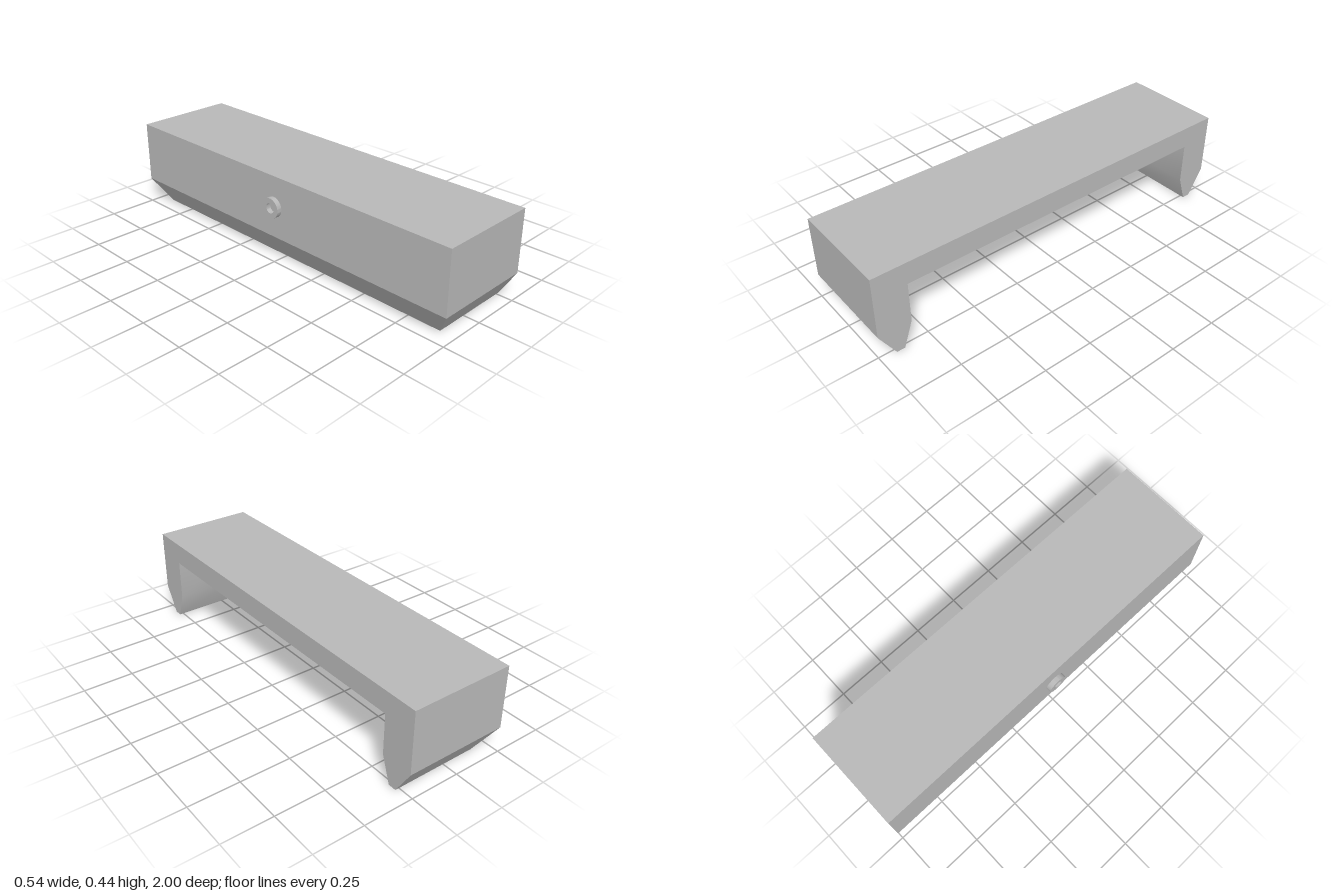
import * as THREE from 'three';
import { toCreasedNormals } from 'three/addons/utils/BufferGeometryUtils.js';

const FRONT = 0.27; // x of the open long side

// U-shaped rows [wall x, half length z, height y]: down the outside, then up the inside
const ROWS = [
  [-0.245, 1.0, 0.445],
  [-0.245, 1.0, 0.132],
  [-0.165, 0.92, 0],
  [-0.08, 0.88, 0],
  [-0.08, 0.835, 0.132],
  [-0.08, 0.835, 0.335],
];

function housingGeometry() {
  const p = ROWS.map(([x, z, y]) => [[FRONT, y, z], [x, y, z], [x, y, -z], [FRONT, y, -z]]);
  const pos = [];
  const quad = (a, b, c, d) => pos.push(...a, ...b, ...c, ...a, ...c, ...d);

  // walls, chamfers, bottom rim and inner walls
  for (let r = 0; r < 5; r++) {
    for (let j = 0; j < 3; j++) quad(p[r][j], p[r][j + 1], p[r + 1][j + 1], p[r + 1][j]);
  }
  // top and recess ceiling
  quad(p[0][3], p[0][2], p[0][1], p[0][0]);
  quad(p[5][0], p[5][1], p[5][2], p[5][3]);
  // frame around the open side
  for (let r = 0; r < 2; r++) {
    quad(p[r][0], p[r + 1][0], p[4 - r][0], p[5 - r][0]);
    quad(p[5 - r][3], p[4 - r][3], p[r + 1][3], p[r][3]);
  }
  quad(p[0][0], p[5][0], p[5][3], p[0][3]);

  const g = new THREE.BufferGeometry();
  g.setAttribute('position', new THREE.Float32BufferAttribute(pos, 3));
  return toCreasedNormals(g, THREE.MathUtils.degToRad(25));
}

// short hollow collar, turned around y and then laid along -x
function collarGeometry() {
  const profile = [[0.025, 0], [0.051, 0], [0.051, 0.026], [0.025, 0.026], [0.025, 0]]
    .map(([r, h]) => new THREE.Vector2(r, h));
  const g = new THREE.LatheGeometry(profile, 48).rotateZ(Math.PI / 2);
  return toCreasedNormals(g, THREE.MathUtils.degToRad(30));
}

export function createModel() {
  const grey = new THREE.MeshStandardMaterial({ color: 0xb8b8b8 });
  grey.name = 'plain grey';

  const model = new THREE.Group();
  model.name = 'cover';

  const housing = new THREE.Mesh(housingGeometry(), grey);
  housing.name = 'housing';

  const collar = new THREE.Mesh(collarGeometry(), grey);
  collar.name = 'collar';
  collar.position.set(-0.244, 0.289, 0);

  model.add(housing, collar);
  return model;
}
